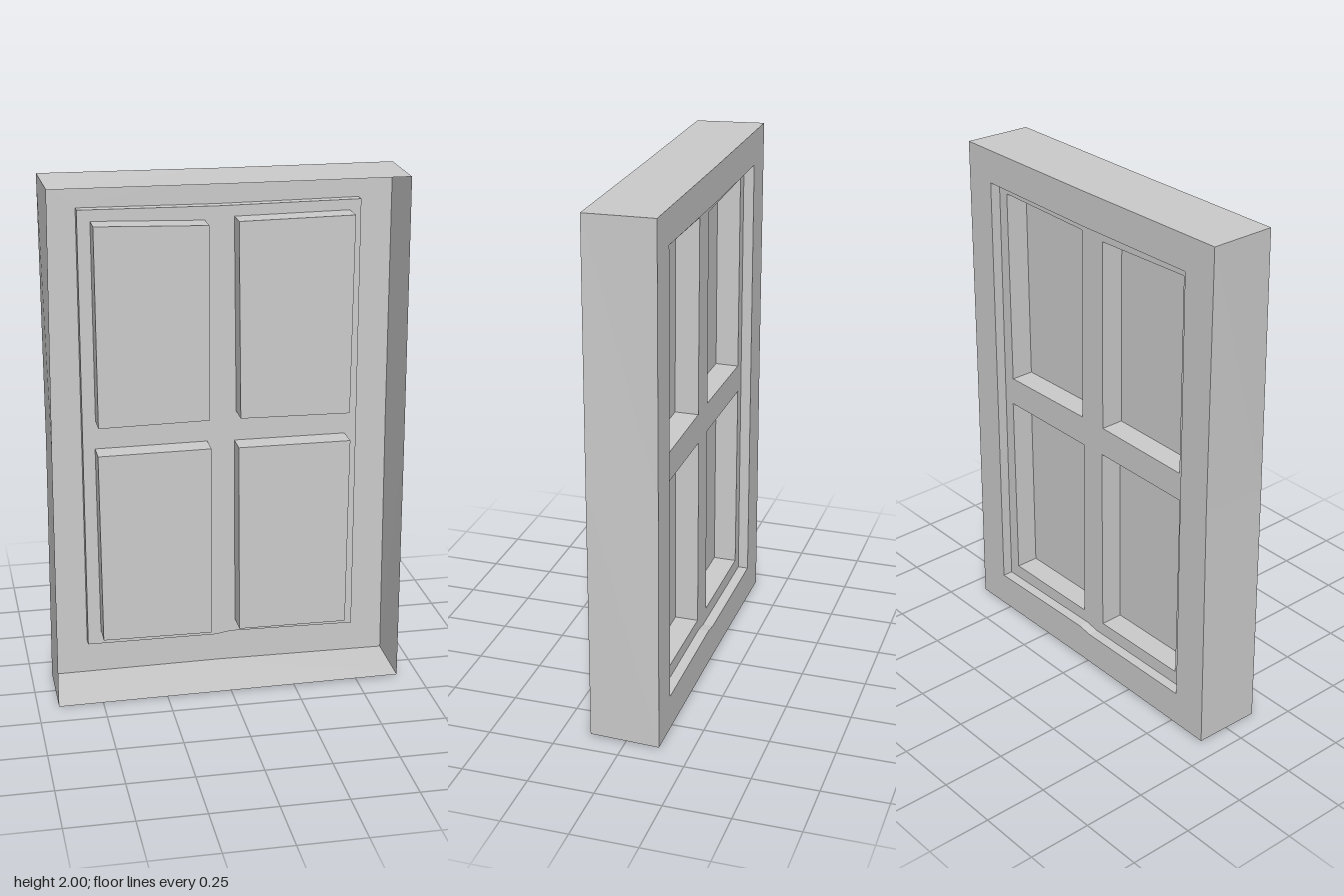
import * as THREE from 'three';

const BACK = -0.13, FRONT = 0.135, SASH = -0.09, GLASS = 0;

// Slightly uneven, hand-cut outlines, counter-clockwise in x, y
const outerBack = [[-0.67, 0.005], [0, 0.01], [0.667, 0.005], [0.66, 1], [0.658, 1.995], [0, 1.995], [-0.665, 2], [-0.662, 1]];
const outerFront = [[-0.67, 0], [0, 0.005], [0.662, 0.01], [0.66, 1], [0.655, 1.99], [0, 1.99], [-0.655, 1.993], [-0.665, 1]];
const opening = [[-0.528, 0.142], [-0.02, 0.14], [0.04, 0.15], [0.532, 0.142], [0.531, 1.868], [0, 1.863], [-0.528, 1.868]];
const panes = {
  upperRightPane: [[-0.478, 1.062], [-0.058, 1.068], [-0.058, 1.812], [-0.48, 1.825]],
  upperLeftPane: [[0.06, 1.068], [0.482, 1.063], [0.488, 1.828], [0.052, 1.822]],
  lowerRightPane: [[-0.477, 0.197], [-0.055, 0.193], [-0.052, 0.955], [-0.482, 0.952]],
  lowerLeftPane: [[0.057, 0.199], [0.482, 0.196], [0.487, 0.952], [0.053, 0.952]],
};

const material = new THREE.MeshStandardMaterial({ color: 0xcccccc, flatShading: true, side: THREE.DoubleSide });

function addMesh(parent, geometry, name) {
  const mesh = new THREE.Mesh(geometry, material);
  mesh.name = name;
  parent.add(mesh);
}

// Flat plate at depth z, turned to face the back
function plate(outline, z, holes = []) {
  const toPoints = ring => ring.map(([x, y]) => new THREE.Vector2(x, y));
  const shape = new THREE.Shape(toPoints(outline));
  shape.holes = holes.map(h => new THREE.Path(toPoints(h)));
  const geometry = new THREE.ShapeGeometry(shape);
  const index = geometry.index;
  for (let i = 0; i < index.count; i += 3) {
    const a = index.getX(i);
    index.setX(i, index.getX(i + 1));
    index.setX(i + 1, a);
  }
  geometry.translate(0, 0, z);
  geometry.computeVertexNormals();
  return geometry;
}

// Band of wall joining two outlines at depths za and zb
function wall(ringA, za, ringB, zb) {
  const positions = [], n = ringA.length;
  for (let i = 0; i < n; i++) {
    const j = (i + 1) % n;
    const a = [...ringA[i], za], b = [...ringA[j], za];
    const c = [...ringB[j], zb], d = [...ringB[i], zb];
    positions.push(...a, ...b, ...c, ...a, ...c, ...d);
  }
  const geometry = new THREE.BufferGeometry();
  geometry.setAttribute('position', new THREE.Float32BufferAttribute(positions, 3));
  geometry.computeVertexNormals();
  return geometry;
}

export function createModel() {
  const group = new THREE.Group();
  group.name = 'window';

  // Outer casing, open towards the front
  addMesh(group, wall(outerBack, BACK, outerFront, FRONT), 'casingWalls');
  addMesh(group, plate(outerBack, BACK, [opening]), 'casingFace');

  // Sash with its cross bars, set back inside the casing
  addMesh(group, wall(opening, SASH, opening, BACK), 'casingReveal');
  addMesh(group, plate(opening, SASH, Object.values(panes)), 'sashAndBars');

  // Four recessed panes
  for (const [name, ring] of Object.entries(panes)) {
    const pane = new THREE.Group();
    pane.name = name;
    addMesh(pane, wall(ring, GLASS, ring, SASH), 'paneReveal');
    addMesh(pane, plate(ring, GLASS), 'glass');
    group.add(pane);
  }
  return group;
}
